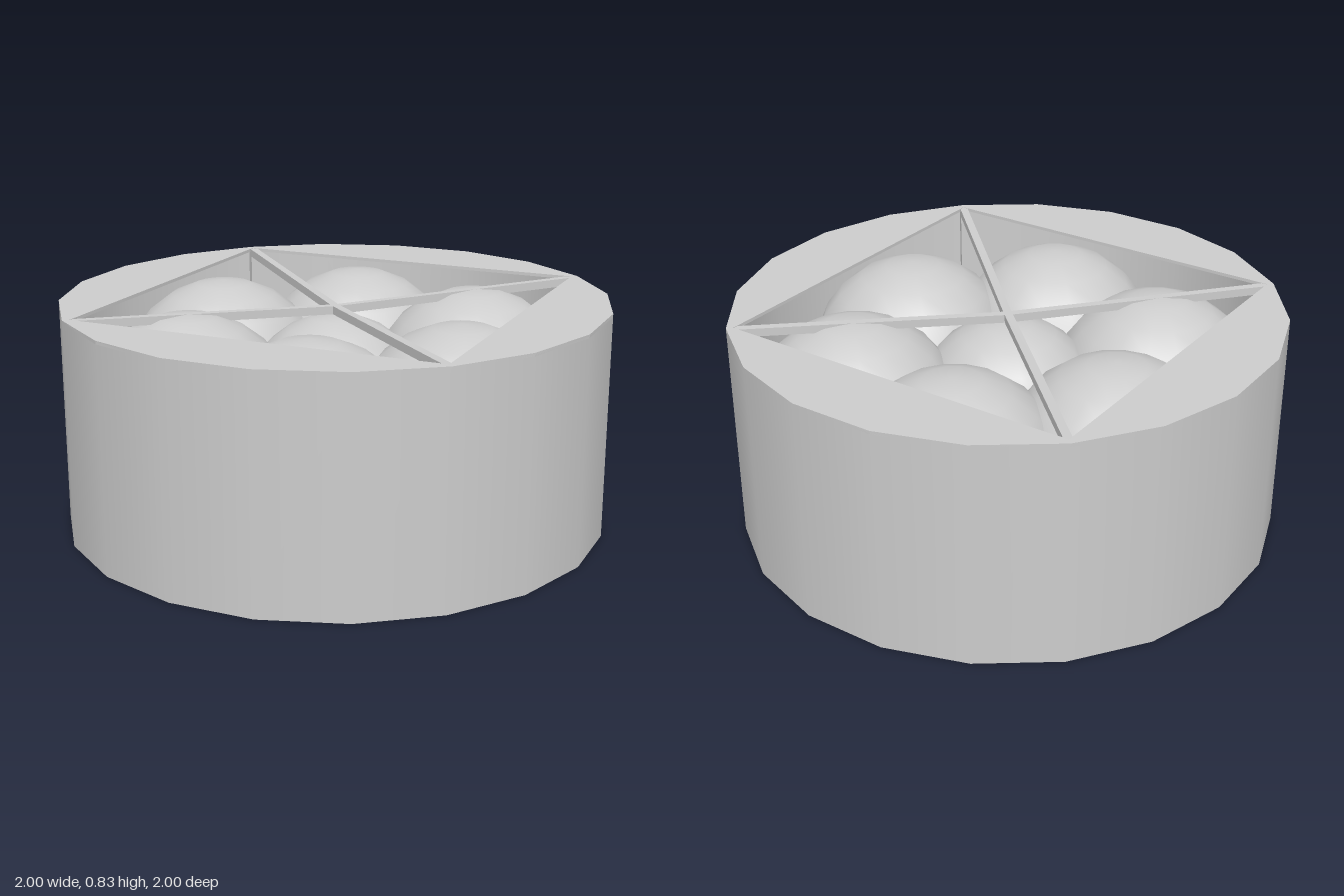
import * as THREE from 'three';

const H = 0.83;      // drum height
const SIDES = 20;    // sides of the drum
const BAR = 0.03;    // thickness of frame bars

export function createModel() {
  const model = new THREE.Group();
  model.name = 'drumOfBalls';
  const grey = new THREE.MeshStandardMaterial({ color: 0xcccccc, side: THREE.DoubleSide });
  grey.name = 'grey';

  const add = (name, geometry, x = 0, y = 0, z = 0, parent = model) => {
    const mesh = new THREE.Mesh(geometry, grey);
    mesh.name = name;
    mesh.position.set(x, y, z);
    parent.add(mesh);
    return mesh;
  };

  // regular polygon with a corner on the +x axis
  const polygon = (sides, r, Type) => {
    const points = [];
    for (let i = 0; i < sides; i++) {
      const a = (i / sides) * Math.PI * 2;
      points.push(new THREE.Vector2(Math.cos(a) * r, Math.sin(a) * r));
    }
    return new Type(points);
  };

  // thin drum wall, open at the bottom
  add('outerWall', new THREE.CylinderGeometry(1, 1, H, SIDES, 1, true), 0, H / 2);
  add('innerWall', new THREE.CylinderGeometry(0.985, 0.985, H - 0.012, SIDES, 1, true), 0, (H - 0.012) / 2);
  add('bottomRim', new THREE.RingGeometry(0.985, 1, SIDES).rotateX(Math.PI / 2));

  // top plate with a square opening
  const plate = polygon(SIDES, 1, THREE.Shape);
  plate.holes.push(polygon(4, 0.975, THREE.Path));
  const plateGeometry = new THREE.ExtrudeGeometry(plate, { depth: 0.012, bevelEnabled: false });
  add('topPlate', plateGeometry.rotateX(-Math.PI / 2), 0, H - 0.012);

  // two crossed frames: a slightly sagging top bar, a bottom bar and end posts
  for (let i = 0; i < 2; i++) {
    const frame = new THREE.Group();
    frame.name = 'crossFrame';
    frame.rotation.y = (i * Math.PI) / 2;
    model.add(frame);

    const topBar = new THREE.BoxGeometry(1.95, BAR, BAR, 2, 1, 1);
    const p = topBar.attributes.position;
    for (let v = 0; v < p.count; v++) {
      p.setY(v, p.getY(v) - 0.03 * (1 - Math.abs(p.getX(v)) / 0.975));
    }
    topBar.computeVertexNormals();
    add('topBar', topBar, 0, H - BAR / 2 - 0.001, 0, frame);
    add('bottomBar', new THREE.BoxGeometry(1.95, BAR, BAR), 0, BAR / 2, 0, frame);
    for (const s of [-1, 1]) {
      add('post', new THREE.BoxGeometry(BAR, H - 0.01, BAR), s * 0.963, (H - 0.01) / 2, 0, frame);
    }
  }

  // one smaller ball ringed by six larger ones
  add('centreBall', new THREE.SphereGeometry(0.35, 16, 12), 0, H / 2);
  for (let i = 0; i < 6; i++) {
    const a = (i * Math.PI) / 3;
    add('ringBall', new THREE.SphereGeometry(0.403, 16, 12), Math.cos(a) * 0.56, H / 2, Math.sin(a) * 0.56);
  }

  return model;
}
